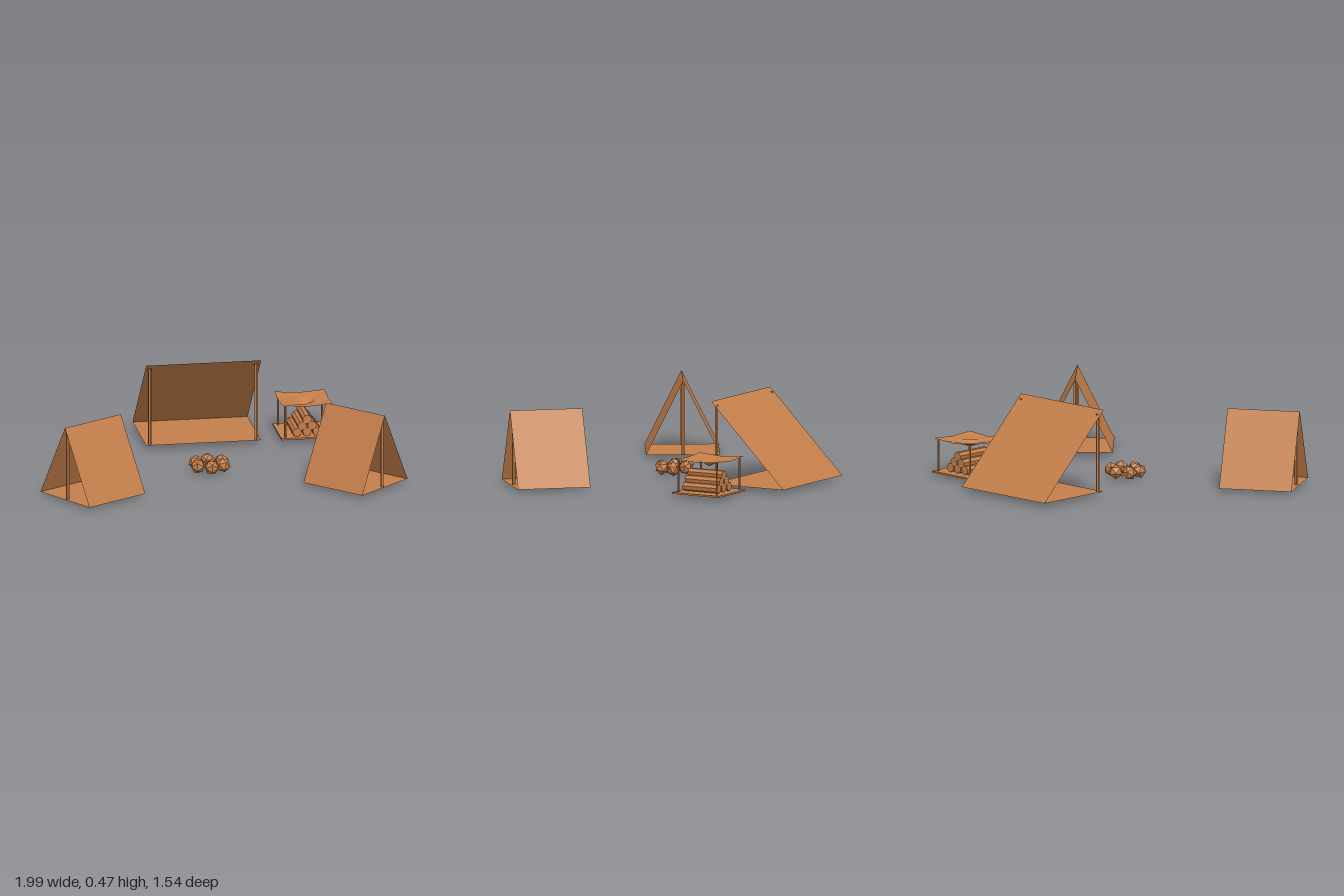
import * as THREE from 'three';

export function createModel() {
  const root = new THREE.Group();
  root.name = 'camp';
  const brown = new THREE.MeshStandardMaterial({ color: 0xc47f4b, flatShading: true, side: THREE.DoubleSide });
  brown.name = 'tan brown';

  const add = (parent, name, geo, x = 0, y = 0, z = 0) => {
    const m = new THREE.Mesh(geo, brown);
    m.name = name;
    m.position.set(x, y, z);
    parent.add(m);
    return m;
  };
  const group = (name, x, z, turn = 0) => {
    const g = new THREE.Group();
    g.name = name;
    g.position.set(x, 0, z);
    g.rotation.y = turn;
    root.add(g);
    return g;
  };
  // flat sheet from four corners, counter-clockwise seen from outside
  const sheet = (a, b, c, d) => {
    const g = new THREE.BufferGeometry();
    g.setAttribute('position', new THREE.Float32BufferAttribute([a, b, c, a, c, d].flat(), 3));
    g.computeVertexNormals();
    return g;
  };
  const pole = (parent, name, r, x, z, y0, y1) =>
    add(parent, name, new THREE.CylinderGeometry(r, r, y1 - y0, 6), x, (y0 + y1) / 2, z);

  // A-frame tents: ridge along local z, open at both ends
  const tent = (name, x, z, turn) => {
    const g = group(name, x, z, turn);
    const w = 0.2, l = 0.2, y = 0.02, h = 0.422;
    add(g, 'leftRoof', sheet([w, y, l], [w, y, -l], [0, h, -l], [0, h, l]));
    add(g, 'rightRoof', sheet([-w, y, -l], [-w, y, l], [0, h, l], [0, h, -l]));
    add(g, 'groundSheet', sheet([-w, y, l], [w, y, l], [w, y, -l], [-w, y, -l]));
    for (const s of [-1, 1]) pole(g, 'tentPole', 0.01, 0, s * 0.18, y, 0.405);
  };
  tent('leftTent', 0.709, 0.482, Math.atan2(0.272, 0.29));
  tent('rightTent', -0.724, 0.473, Math.atan2(-0.343, 0.213));

  // lean-to with a single sloping roof
  const lean = group('leanTo', 0.013, -0.55);
  const W = 0.314, F = 0.225, Y = 0.028;
  add(lean, 'slopingRoof', sheet([W, Y, -F], [-W, Y, -F], [-W, 0.477, F], [W, 0.477, F]));
  add(lean, 'groundSheet', sheet([-W, Y, F], [W, Y, F], [W, Y, -F], [-W, Y, -F]));
  for (const s of [-1, 1]) pole(lean, 'frontPole', 0.01, s * 0.29, 0.205, Y, 0.455);

  // firewood shelter: base, posts, sagging canopy
  const shed = group('firewoodShelter', 0.581, -0.46);
  add(shed, 'base', new THREE.BoxGeometry(0.29, 0.009, 0.29), 0, 0.029, 0);
  for (const sx of [-1, 1]) for (const sz of [-1, 1])
    pole(shed, 'post', 0.006, sx * 0.12, sz * 0.12, 0.03, 0.208);
  const cloth = new THREE.PlaneGeometry(0.274, 0.274, 4, 4).rotateX(-Math.PI / 2);
  const p = cloth.attributes.position;
  for (let i = 0; i < p.count; i++) {
    const u = Math.abs(p.getX(i)) / 0.137, v = Math.abs(p.getZ(i)) / 0.137;
    const r = Math.max(u, v);
    p.setY(i, r < 0.1 ? 0.168 : r < 0.6 ? 0.198 : 0.205 + 0.01 * Math.min(u, v));
  }
  cloth.computeVertexNormals();
  add(shed, 'canopy', cloth);

  // pyramid of logs
  for (let row = 0; row < 3; row++)
    for (let i = 0; i < 3 - row; i++) {
      const log = new THREE.CylinderGeometry(0.025, 0.025, 0.215, 7).rotateX(Math.PI / 2);
      add(shed, 'log', log, (i - (2 - row) / 2) * 0.055, 0.057 + row * 0.035, 0.012);
    }

  // fire ring of stones around crossed sticks
  const fire = group('firePit', -0.028, 0.115);
  for (let i = 0; i < 6; i++) {
    const a = (i / 6) * Math.PI * 2;
    const stone = add(fire, 'stone', new THREE.IcosahedronGeometry(0.04, 0), Math.sin(a) * 0.08, 0.043, Math.cos(a) * 0.073);
    stone.rotation.set(i * 1.3, i * 0.7, i * 2.1);
  }
  for (let i = 0; i < 3; i++) {
    const stick = new THREE.CylinderGeometry(0.012, 0.012, 0.11, 6).rotateX(Math.PI / 2);
    add(fire, 'stick', stick, 0, 0.03 + i * 0.008, 0).rotation.y = (i * Math.PI) / 3 + 0.5;
  }
  return root;
}
